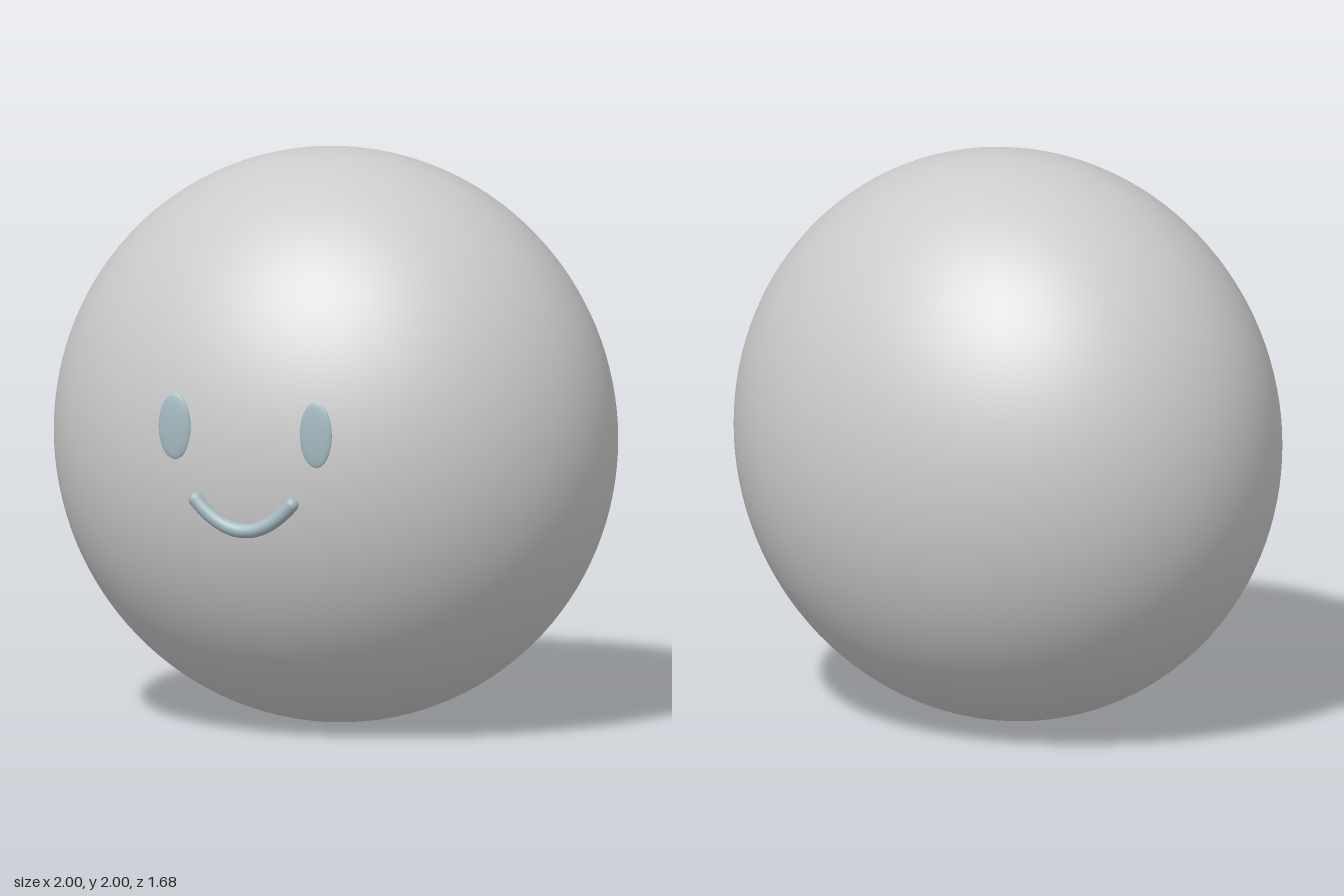
import * as THREE from 'three';

const bodyMaterial = new THREE.MeshStandardMaterial({ color: 0xcccccc });
const faceMaterial = new THREE.MeshStandardMaterial({ color: 0xa5bac2 });

// Smooth ellipsoid given its centre and three radii
function ellipsoid(name, material, center, radii, segments) {
  const geometry = new THREE.SphereGeometry(1, segments, segments / 2);
  geometry.scale(...radii);
  const mesh = new THREE.Mesh(geometry, material);
  mesh.name = name;
  mesh.position.set(...center);
  return mesh;
}

// Smile: a round tube along a curve, with ball ends
function createMouth() {
  const mouth = new THREE.Group();
  mouth.name = 'mouth';
  const radius = 0.025;
  const z = 0.813;
  const curve = new THREE.QuadraticBezierCurve3(
    new THREE.Vector3(-0.18, 0.877, z),
    new THREE.Vector3(0, 0.675, z),
    new THREE.Vector3(0.18, 0.877, z)
  );
  const tube = new THREE.Mesh(new THREE.TubeGeometry(curve, 40, radius, 20), faceMaterial);
  tube.name = 'smile';
  mouth.add(tube);
  for (const t of [0, 1]) {
    const end = curve.getPoint(t).toArray();
    mouth.add(ellipsoid(t ? 'leftMouthEnd' : 'rightMouthEnd', faceMaterial, end, [radius, radius, radius], 20));
  }
  return mouth;
}

export function createModel() {
  const model = new THREE.Group();
  model.name = 'smilingBall';

  // Flattened round body
  model.add(ellipsoid('body', bodyMaterial, [0, 1, -0.01], [1, 1, 0.83], 128));

  // Thin oval eyes
  for (const side of [-1, 1]) {
    const name = side > 0 ? 'leftEye' : 'rightEye';
    model.add(ellipsoid(name, faceMaterial, [side * 0.265, 1.125, 0.797], [0.06, 0.115, 0.013], 40));
  }

  model.add(createMouth());
  return model;
}
